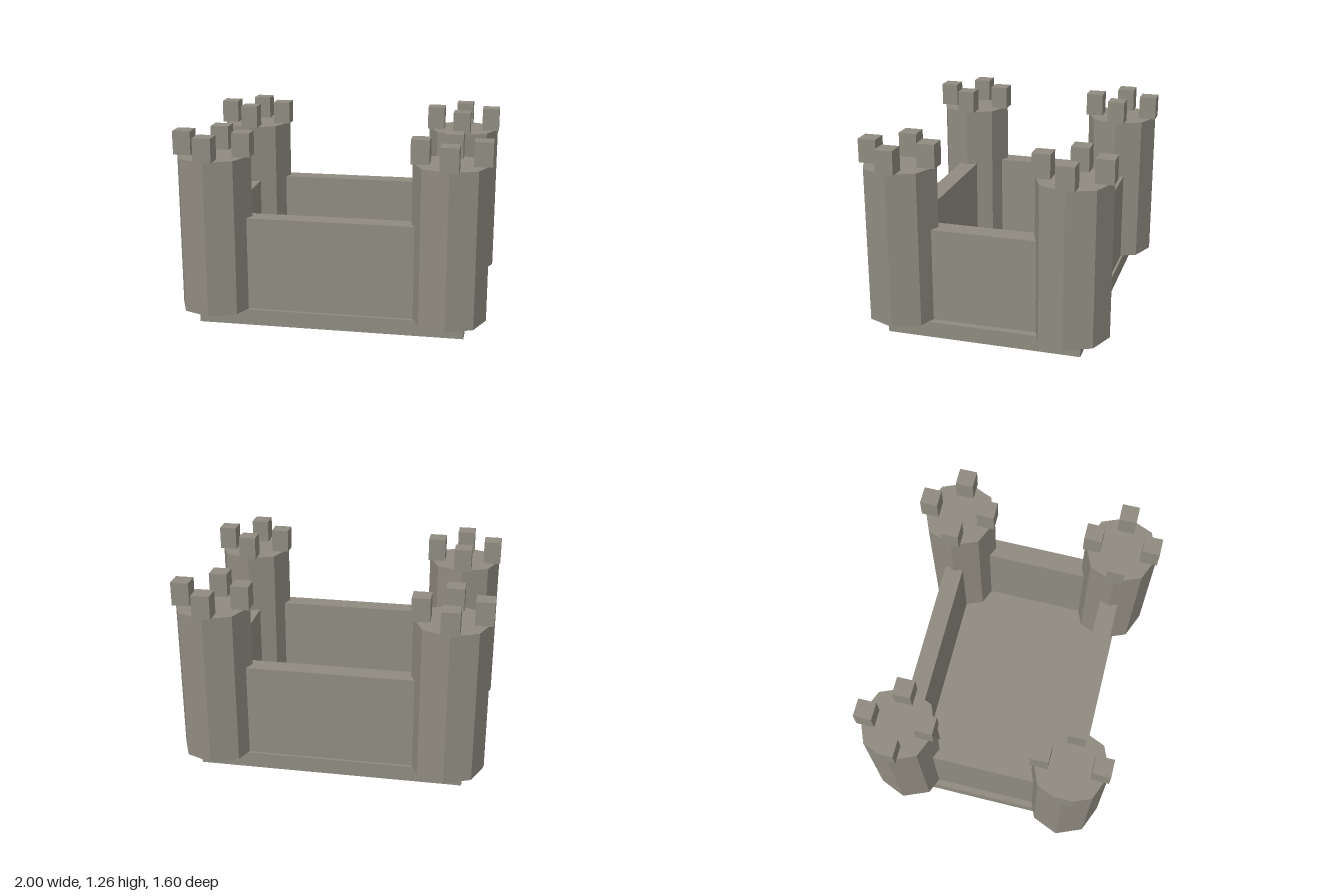
import * as THREE from 'three';

export function createModel() {
  const model = new THREE.Group();
  const stone = new THREE.MeshStandardMaterial({ color: 0x8f8b80, flatShading: true });
  stone.name = 'grey stone';

  const BASE_TOP = 0.105, WALL_TOP = 0.715, TOWER_TOP = 1.11, MERLON_TOP = 1.262;
  const TOWER_RADIUS = 0.241, MERLON_SIZE = 0.115, MERLON_OFFSET = 0.191;

  function add(parent, name, geometry, x, y, z) {
    const mesh = new THREE.Mesh(geometry, stone);
    mesh.name = name;
    mesh.position.set(x, y, z);
    parent.add(mesh);
  }

  // Box given by its limits on each axis
  function addBox(parent, name, [x0, x1], [y0, y1], [z0, z1]) {
    add(parent, name, new THREE.BoxGeometry(x1 - x0, y1 - y0, z1 - z0),
      (x0 + x1) / 2, (y0 + y1) / 2, (z0 + z1) / 2);
  }

  // Base slab
  addBox(model, 'base', [-0.86, 0.858], [0, BASE_TOP], [-0.63, 0.63]);

  // Curtain walls, their ends sunk into the towers
  const wallY = [BASE_TOP, WALL_TOP];
  addBox(model, 'frontWall', [-0.7, 0.7], wallY, [0.488, 0.61]);
  addBox(model, 'backWall', [-0.7, 0.7], wallY, [-0.613, -0.492]);
  addBox(model, 'leftWall', [0.683, 0.814], wallY, [-0.5, 0.5]);
  addBox(model, 'rightWall', [-0.819, -0.688], wallY, [-0.5, 0.5]);

  // Octagonal corner towers, each with four merlons
  const towerHeight = TOWER_TOP - BASE_TOP;
  const merlonHeight = MERLON_TOP - TOWER_TOP;
  const towerGeometry = new THREE.CylinderGeometry(TOWER_RADIUS, TOWER_RADIUS, towerHeight, 8);
  const merlonGeometry = new THREE.BoxGeometry(MERLON_SIZE, merlonHeight, MERLON_SIZE);

  for (const [side, x] of [['Right', -0.753], ['Left', 0.75]]) {
    for (const [end, z] of [['front', 0.552], ['back', -0.549]]) {
      const tower = new THREE.Group();
      tower.name = end + side + 'Tower';
      tower.position.set(x, 0, z);
      add(tower, 'towerShaft', towerGeometry, 0, BASE_TOP + towerHeight / 2, 0);
      for (const [dx, dz] of [[1, 0], [-1, 0], [0, 1], [0, -1]]) {
        add(tower, 'merlon', merlonGeometry,
          dx * MERLON_OFFSET, TOWER_TOP + merlonHeight / 2, dz * MERLON_OFFSET);
      }
      model.add(tower);
    }
  }

  return model;
}
